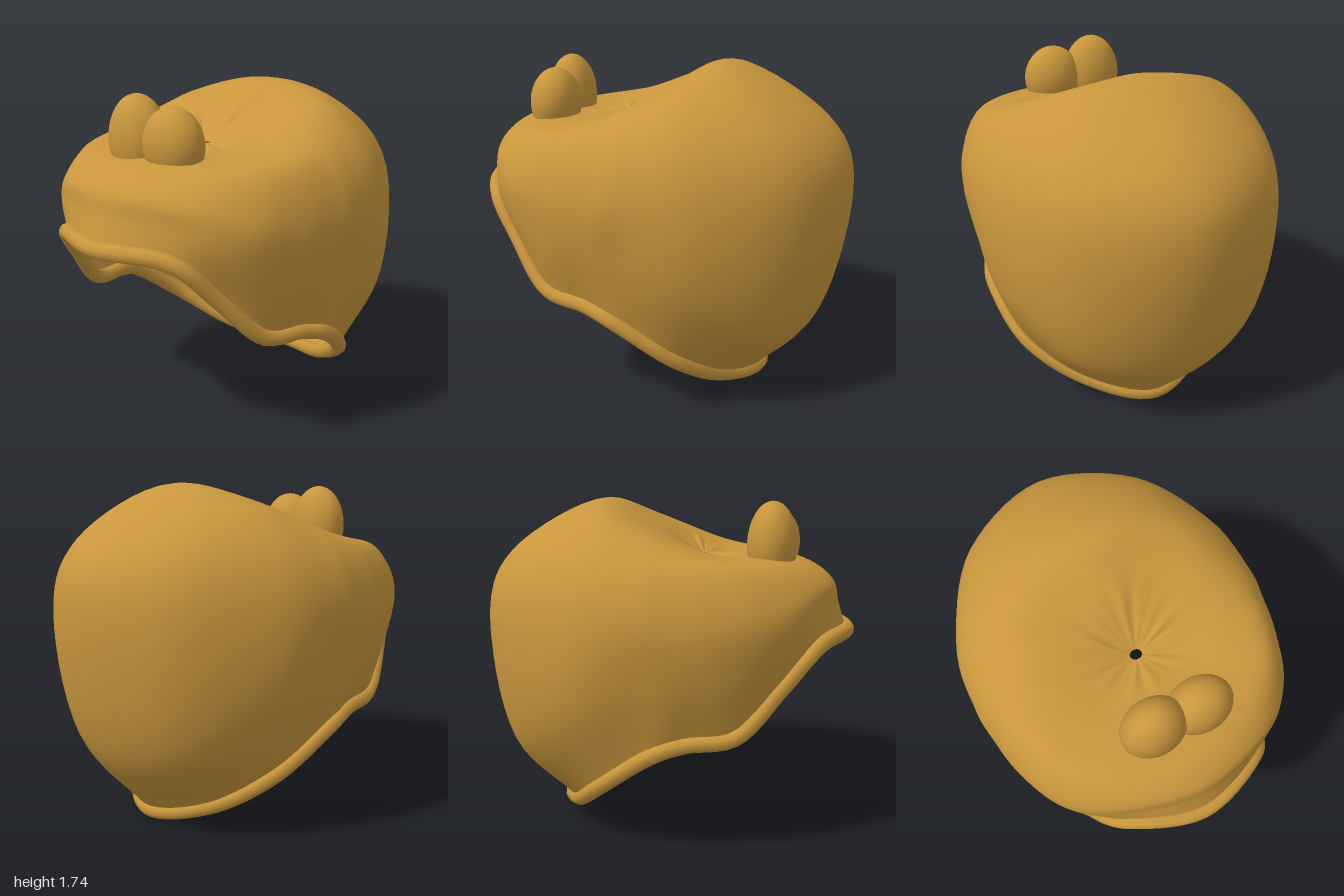
import * as THREE from 'three';

const fur = new THREE.MeshStandardMaterial({ color: 0xc8963c, side: THREE.DoubleSide });
fur.name = 'golden brown';

// Half loops from front centre, round the left side, to back centre: [x, y, z]
const RIM = [[0, 1.08, 0.955], [0.36, 1.06, 0.83], [0.49, 0.87, 0.665], [0.6, 0.65, 0.47],
  [0.66, 0.61, 0.23], [0.69, 0.54, 0.05], [0.6, 0.33, -0.22], [0.34, 0.135, -0.42], [0, 0.05, -0.57]];
const WALL = [[0, 1.22, 0.91], [0.4, 1.2, 0.8], [0.59, 1.09, 0.66], [0.7, 0.95, 0.44],
  [0.75, 0.93, 0.25], [0.77, 0.9, 0.05], [0.75, 0.75, -0.32], [0.47, 0.5, -0.71], [0, 0.47, -0.89]];
const BELT = [[0, 1.33, 0.88], [0.4, 1.31, 0.78], [0.635, 1.25, 0.59], [0.74, 1.2, 0.37],
  [0.78, 1.2, 0.18], [0.8, 1.2, 0], [0.76, 1.15, -0.35], [0.5, 1.1, -0.79], [0, 1.12, -1]];
const CROWN = [[0, 1.46, 0.6], [0.25, 1.455, 0.56], [0.4, 1.46, 0.45], [0.47, 1.49, 0.28],
  [0.5, 1.53, 0.14], [0.5, 1.58, 0], [0.45, 1.65, -0.2], [0.25, 1.715, -0.35], [0, 1.74, -0.38]];

// The shoulder is the belt drawn inwards; the slope is the crown shrunk towards the dimple
const SHOULDER = BELT.map(([x, , z]) => [x * 0.88, 1.44 - 0.03 * z, z * (z > 0 ? 0.88 : 0.86)]);
const SLOPE = CROWN.map(([x, y, z]) => [x * 0.48, 1.46 + (y - 1.46) * 0.7, 0.2 + (z - 0.2) * 0.51]);

// Small open hole at the bottom of the dimple
const HOLE = CROWN.map((_, i) => {
  const a = (i / 8) * Math.PI;
  return [0.03 * Math.sin(a), 1.46, 0.2 + 0.025 * Math.cos(a)];
});

// Mirror a half loop into a closed smooth curve
function closedLoop(half) {
  const left = half.map((p) => new THREE.Vector3(...p));
  const right = half.slice(1, -1).reverse().map(([x, y, z]) => new THREE.Vector3(-x, y, z));
  return new THREE.CatmullRomCurve3([...left, ...right], true, 'catmullrom', 0.5);
}

// Loft a smooth skin through the loops, with fine gathers round the dimple
function shellGeometry(loops, cols, rows) {
  const positions = [];
  const indices = [];
  for (let i = 0; i < cols; i++) {
    const profile = new THREE.CatmullRomCurve3(
      loops.map((l) => l.getPoint(i / cols)), false, 'catmullrom', 0.5);
    const a = (i / cols) * Math.PI * 2;
    for (let j = 0; j <= rows; j++) {
      const t = j / rows;
      const p = profile.getPoint(t);
      const gather = Math.max(0, 1 - Math.abs(t - 0.9) / 0.1);
      p.y += 0.004 * gather * (Math.sin(11 * a) + Math.sin(17 * a + 1));
      positions.push(p.x, p.y, p.z);
      if (j === rows) continue;
      const b = i * (rows + 1) + j;
      const c = ((i + 1) % cols) * (rows + 1) + j;
      indices.push(b, c, c + 1, b, c + 1, b + 1);
    }
  }
  const geo = new THREE.BufferGeometry();
  geo.setAttribute('position', new THREE.Float32BufferAttribute(positions, 3));
  geo.setIndex(indices);
  geo.computeVertexNormals();
  return geo;
}

export function createModel() {
  const group = new THREE.Group();
  group.name = 'hoodCap';
  const add = (name, geo) => {
    const mesh = new THREE.Mesh(geo, fur);
    mesh.name = name;
    group.add(mesh);
    return mesh;
  };

  const loops = [RIM, WALL, BELT, SHOULDER, CROWN, SLOPE, HOLE].map(closedLoop);
  add('shell', shellGeometry(loops, 112, 42));

  // Rolled rim round the face opening
  add('rim', new THREE.TubeGeometry(loops[0], 112, 0.042, 10, true));

  // Domed eye bumps, sunk a little into the brow
  const dome = new THREE.SphereGeometry(1, 24, 16, 0, Math.PI * 2, 0, Math.PI * 0.62);
  for (const [name, x, top] of [['rightEyeBump', -0.1, 1.735], ['leftEyeBump', 0.135, 1.695]]) {
    const bump = add(name, dome);
    bump.scale.set(0.163, top - 1.515, 0.128);
    bump.position.set(x, 1.515, 0.565);
  }
  return group;
}
